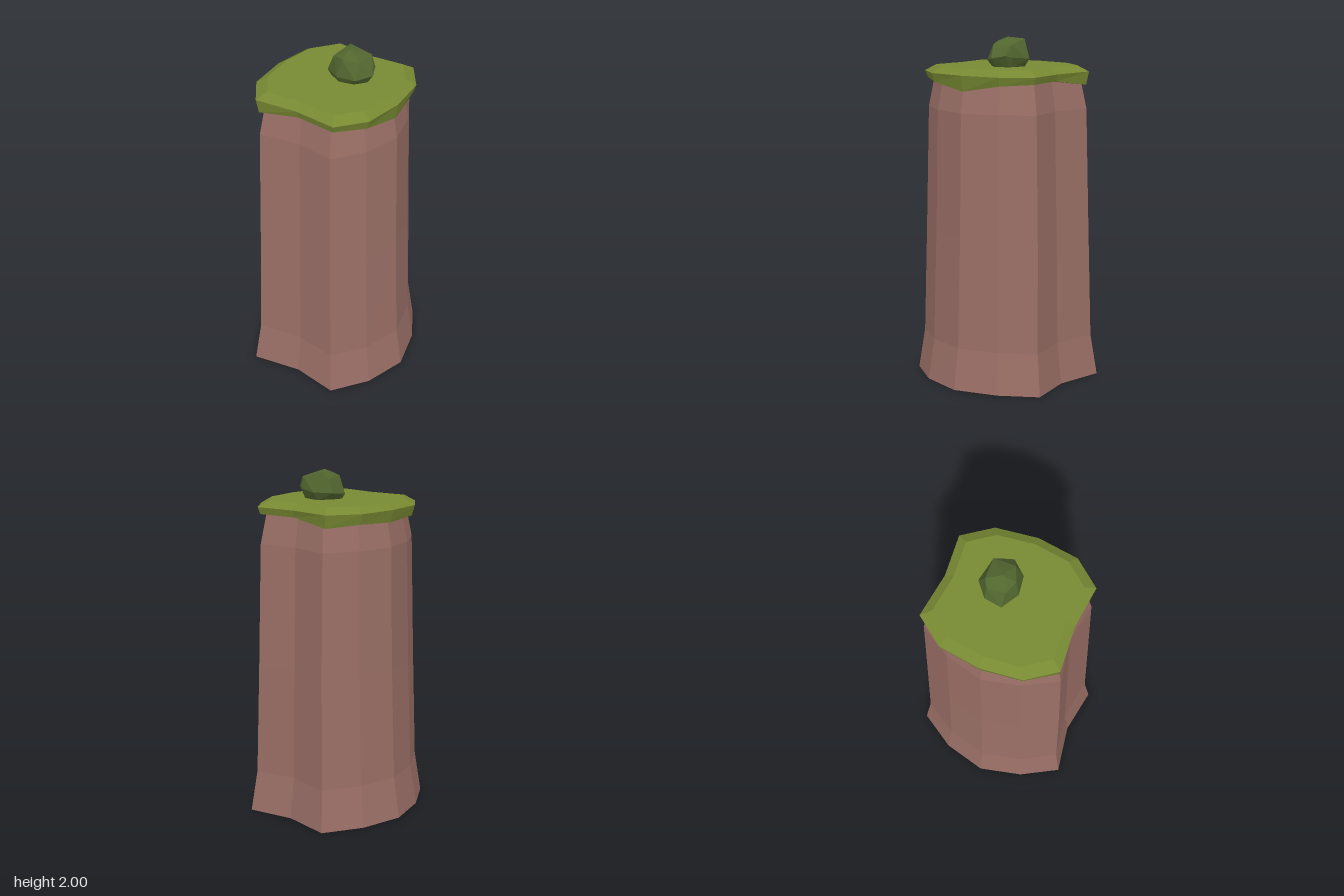
import * as THREE from 'three';
import { ConvexGeometry } from 'three/addons/geometries/ConvexGeometry.js';

// Closed faceted solid through rings of [x, y, z] corners, listed bottom to top
function loft(rings) {
  const pos = [];
  const tri = (a, b, c) => pos.push(...a, ...b, ...c);
  const n = rings[0].length;
  for (let k = 0; k < rings.length - 1; k++) {
    for (let i = 0; i < n; i++) {
      const j = (i + 1) % n, lo = rings[k], hi = rings[k + 1];
      tri(lo[i], lo[j], hi[j]);
      tri(lo[i], hi[j], hi[i]);
    }
  }
  const centre = (r) => [0, r.reduce((s, p) => s + p[1], 0) / n, 0];
  const bottom = rings[0], top = rings[rings.length - 1];
  for (let i = 0; i < n; i++) {
    const j = (i + 1) % n;
    tri(centre(bottom), bottom[j], bottom[i]);
    tri(centre(top), top[i], top[j]);
  }
  const g = new THREE.BufferGeometry();
  g.setAttribute('position', new THREE.Float32BufferAttribute(pos, 3));
  g.computeVertexNormals();
  return g;
}

export function createModel() {
  const group = new THREE.Group();
  const material = (name, color) => {
    const m = new THREE.MeshStandardMaterial({ color });
    m.name = name;
    m.flatShading = true;
    return m;
  };
  const add = (name, geometry, mat) => {
    const mesh = new THREE.Mesh(geometry, mat);
    mesh.name = name;
    group.add(mesh);
  };

  // Pillar: twelve-cornered outline with notched front and back, narrowing upward
  const outline = [
    [0, 0.415], [0.27, 0.455], [0.41, 0.253], [0.475, 0], [0.397, -0.255], [0.27, -0.462],
    [0, -0.415], [-0.285, -0.47], [-0.415, -0.255], [-0.475, 0], [-0.41, 0.253], [-0.285, 0.467],
  ];
  const levels = [[0, 1, 1], [0.24, 0.92, 0.93], [0.88, 0.87, 0.9], [1.59, 0.84, 0.86], [1.77, 0.77, 0.79]];
  add('pillar', loft(levels.map(([y, sx, sz]) => outline.map(([x, z]) => [x * sx, y, z * sz]))),
    material('rosy brown stone', 0x9a6f66));

  // Moss cap: bevelled slab whose lower rim droops at some corners
  const rim = [
    [0, 0.375], [0.25, 0.397], [0.372, 0.24], [0.4, 0], [0.365, -0.24], [0.245, -0.4],
    [0, -0.375], [-0.26, -0.405], [-0.38, -0.24], [-0.41, 0], [-0.38, 0.24], [-0.26, 0.4],
  ];
  const droop = [1.76, 1.76, 1.75, 1.71, 1.75, 1.76, 1.76, 1.725, 1.74, 1.73, 1.74, 1.72];
  add('mossCap', loft([
    rim.map(([x, z], i) => [x * 0.96, droop[i], z * 0.97]),
    rim.map(([x, z]) => [x, 1.80, z]),
    rim.map(([x, z]) => [x * 0.86, 1.835, z * 0.86]),
  ]), material('moss green', 0x778932));

  // Small faceted bush resting on the cap
  const bush = [
    [-0.03, 1.825, -0.09], [0.02, 1.825, -0.15], [0.12, 1.825, -0.13], [0.155, 1.825, -0.06],
    [0.11, 1.825, 0], [0.03, 1.825, 0.02], [-0.05, 1.825, -0.02],
    [-0.065, 1.875, -0.115], [0.015, 1.88, -0.185], [0.13, 1.89, -0.155], [0.165, 1.9, -0.13],
    [0.198, 1.885, -0.055], [0.135, 1.87, 0.025], [0.025, 1.87, 0.043], [-0.075, 1.865, -0.015],
    [-0.04, 1.955, -0.11], [-0.03, 1.965, -0.01], [0.045, 1.975, 0.02],
    [0.135, 1.96, -0.02], [0.13, 1.96, -0.145],
    [-0.005, 1.99, -0.135], [0.045, 2, -0.055],
  ].map((p) => new THREE.Vector3(...p));
  add('bush', new ConvexGeometry(bush), material('dark leaf green', 0x52662f));

  return group;
}
